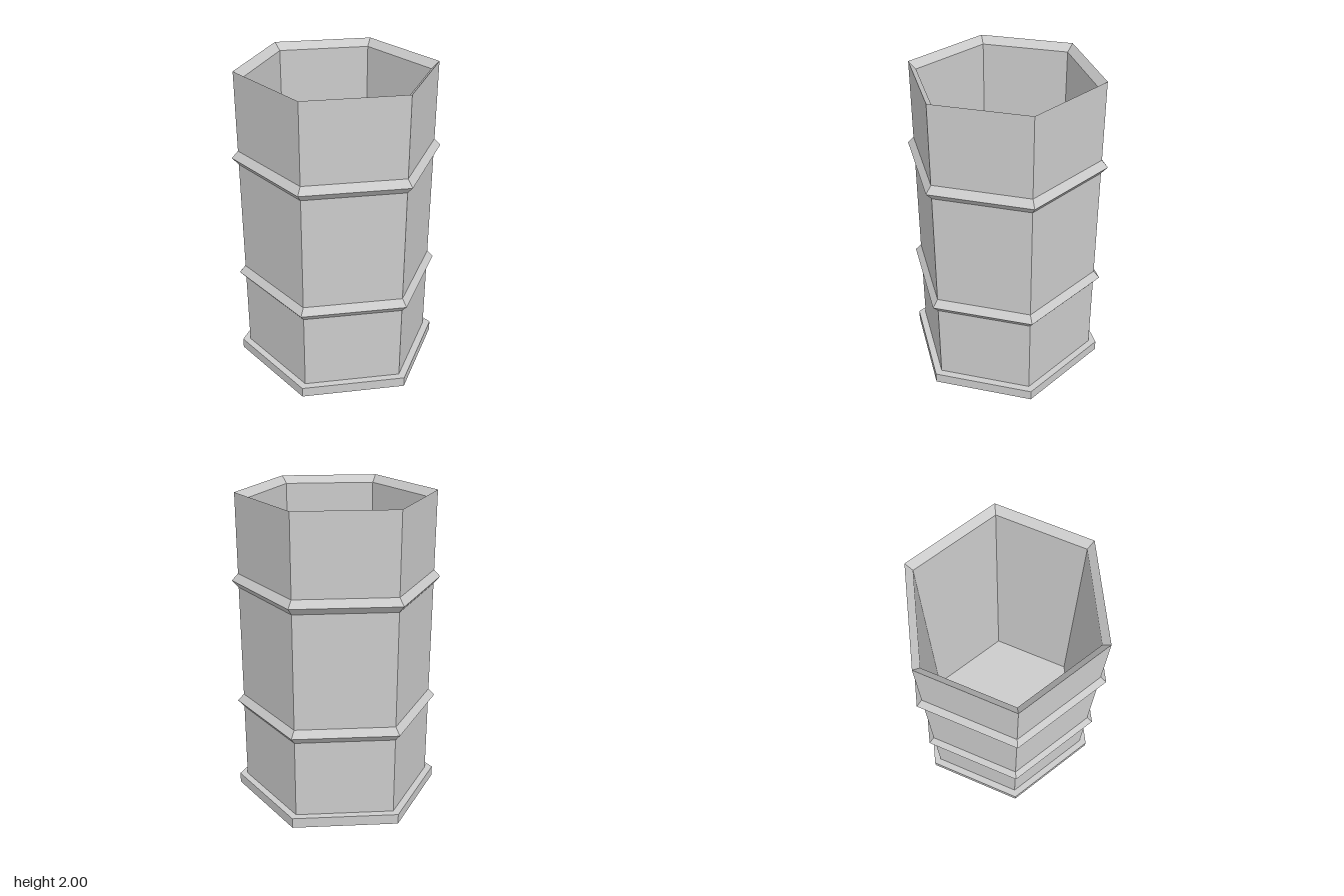
import * as THREE from 'three';

// Slightly skewed hexagon of unit half-width, as [x, z]; the other half is its mirror through the centre
const half = [[1, 0], [0.47, 0.854], [-0.53, 0.848]];
const hex = [...half, ...half.map(([x, z]) => [-x, -z])];

// Sweeps a profile of [radius, y] around the hexagon with flat faces
function hexLathe(name, profile) {
  const pos = [];
  const corner = (i, [r, y]) => [hex[i % 6][0] * r, y, hex[i % 6][1] * r];
  for (let k = 0; k < profile.length - 1; k++) {
    const lo = profile[k], up = profile[k + 1];
    for (let i = 0; i < 6; i++) {
      const a = corner(i, lo), b = corner(i + 1, lo);
      const c = corner(i, up), d = corner(i + 1, up);
      if (lo[0] > 0) pos.push(...a, ...c, ...b);
      if (up[0] > 0) pos.push(...b, ...c, ...d);
    }
  }
  const geo = new THREE.BufferGeometry();
  geo.setAttribute('position', new THREE.Float32BufferAttribute(pos, 3));
  geo.computeVertexNormals();
  const mesh = new THREE.Mesh(geo, new THREE.MeshStandardMaterial({ color: 0xcccccc, flatShading: true }));
  mesh.name = name;
  return mesh;
}

export function createModel() {
  const group = new THREE.Group();
  group.name = 'hexagonalBarrel';
  const R = 0.613, inner = 0.566;

  // Hollow body: underside, outer wall, rim sloping inward, inner wall, floor
  group.add(hexLathe('body', [
    [0, 0.03], [R, 0.03], [R, 2], [inner, 1.955], [inner, 0.07], [0, 0.07],
  ]));

  // Foot ring around the bottom, leaving the underside recessed
  group.add(hexLathe('footRing', [
    [R, 0.03], [R, 0], [0.663, 0], [0.663, 0.067], [R, 0.067],
  ]));

  // Two pointed hoops
  for (const [name, y] of [['lowerHoop', 0.623], ['upperHoop', 1.451]]) {
    group.add(hexLathe(name, [[R, y - 0.045], [0.653, y], [R, y + 0.045]]));
  }
  return group;
}
